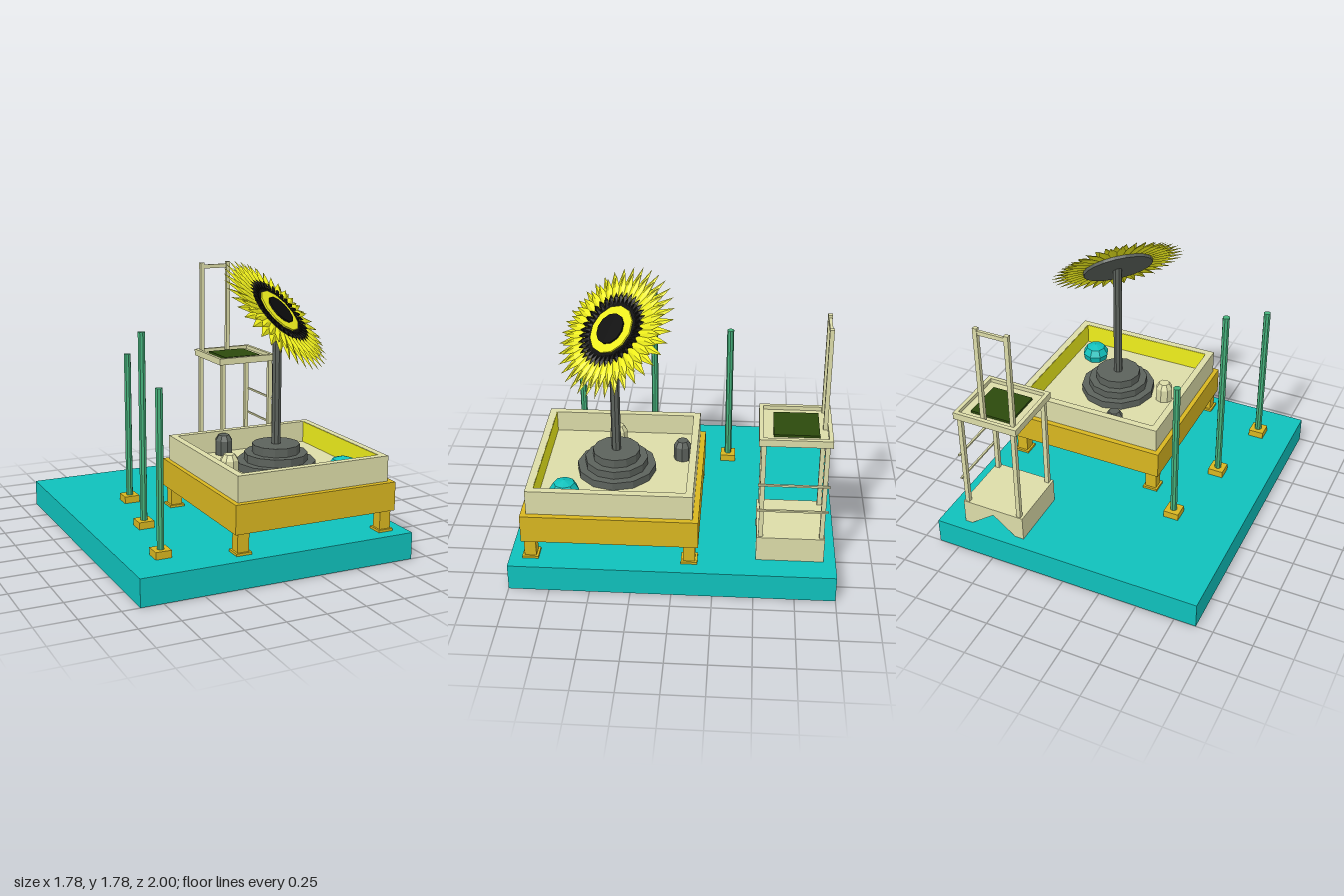
import * as THREE from 'three';

const mat = (color, side = THREE.FrontSide) =>
  new THREE.MeshStandardMaterial({ color, flatShading: true, side });
const CYAN = mat(0x0fc1bc), GOLD = mat(0xd8b620), CREAM = mat(0xdcdca8), GREY = mat(0x5c625c);
const GREEN = mat(0x46b27c), PANEL = mat(0x2c4a0c), BLACK = mat(0x0c0c0c), YELLOW = mat(0xeeee1c);
const PETAL = mat(0xeeee1c, THREE.DoubleSide), DARK_PETAL = mat(0x0c0c0c, THREE.DoubleSide);

function add(parent, name, geometry, material) {
  const mesh = new THREE.Mesh(geometry, material);
  mesh.name = name;
  parent.add(mesh);
  return mesh;
}

// Box given by its limits on each axis
function box(parent, name, material, x0, x1, y0, y1, z0, z1) {
  const mesh = add(parent, name, new THREE.BoxGeometry(x1 - x0, y1 - y0, z1 - z0), material);
  mesh.position.set((x0 + x1) / 2, (y0 + y1) / 2, (z0 + z1) / 2);
  return mesh;
}

// Upright cylinder from y0 to y1
function post(parent, name, material, x, z, y0, y1, r, sides = 8) {
  const mesh = add(parent, name, new THREE.CylinderGeometry(r, r, y1 - y0, sides), material);
  mesh.position.set(x, (y0 + y1) / 2, z);
  return mesh;
}

// Rectangular ring with wall thickness t
function rim(parent, name, material, x0, x1, y0, y1, z0, z1, t) {
  const rect = (a, b, c, d) => [[a, c], [b, c], [b, d], [a, d]].map(p => new THREE.Vector2(...p));
  const shape = new THREE.Shape(rect(x0, x1, -z1, -z0));
  shape.holes.push(new THREE.Path(rect(x0 + t, x1 - t, -z1 + t, -z0 - t)));
  const geo = new THREE.ExtrudeGeometry(shape, { depth: y1 - y0, bevelEnabled: false });
  add(parent, name, geo.rotateX(-Math.PI / 2), material).position.y = y0;
}

// Faceted turned form standing on y
function turned(parent, name, material, x, y, z, profile) {
  const points = profile.map(p => new THREE.Vector2(...p));
  add(parent, name, new THREE.LatheGeometry(points, 8), material).position.set(x, y, z);
}

// Pointed leaf along +y with a raised middle ridge
function petalGeometry(r0, r1, w, z0, z1) {
  const rm = r0 + (r1 - r0) * 0.55, zm = (z0 + z1) / 2;
  const geo = new THREE.BufferGeometry();
  geo.setAttribute('position', new THREE.Float32BufferAttribute([
    -w * 0.3, r0, z0, w * 0.3, r0, z0, w / 2, rm, zm,
    0, r1, z1, -w / 2, rm, zm, 0, rm, zm + 0.012], 3));
  geo.setIndex([0, 1, 5, 1, 2, 5, 2, 3, 5, 3, 4, 5, 4, 0, 5]);
  geo.computeVertexNormals();
  return geo;
}

function petalRing(parent, name, material, count, offset, ...size) {
  const ring = new THREE.Group();
  ring.name = name;
  const geo = petalGeometry(...size);
  for (let i = 0; i < count; i++) {
    add(ring, 'petal', geo, material).rotation.z = (i + offset) * 2 * Math.PI / count;
  }
  parent.add(ring);
}

function createFlower() {
  const flower = new THREE.Group();
  flower.name = 'flowerHead';
  const disc = (name, material, r, z0, z1, sides) => {
    const geo = new THREE.CylinderGeometry(r, r, z1 - z0, sides).rotateX(Math.PI / 2);
    add(flower, name, geo, material).position.z = (z0 + z1) / 2;
  };
  disc('flowerBack', GREY, 0.23, -0.02, 0, 20);
  disc('seedRing', BLACK, 0.205, 0, 0.025, 20);
  disc('innerRing', YELLOW, 0.157, 0.025, 0.035, 12);
  disc('flowerCore', BLACK, 0.1, 0.035, 0.045, 12);
  petalRing(flower, 'outerPetals', PETAL, 36, 0, 0.19, 0.438, 0.058, 0, -0.005);
  petalRing(flower, 'innerPetals', PETAL, 36, 0.5, 0.19, 0.385, 0.054, 0.012, 0.02);
  petalRing(flower, 'darkPetals', DARK_PETAL, 36, 0, 0.17, 0.25, 0.034, 0.028, 0.032);
  flower.position.set(0.265, 1.47, 0.378);
  flower.quaternion.setFromUnitVectors(
    new THREE.Vector3(0, 0, 1), new THREE.Vector3(0.49, 0.69, 0.53).normalize());
  return flower;
}

function createPlanter() {
  const planter = new THREE.Group();
  planter.name = 'planter';
  box(planter, 'planterFrame', GOLD, -0.27, 0.81, 0.3, 0.48, -0.16, 0.92);
  box(planter, 'planterFloor', CREAM, -0.2, 0.74, 0.48, 0.5, -0.09, 0.84);
  rim(planter, 'planterWall', CREAM, -0.24, 0.775, 0.48, 0.64, -0.125, 0.885, 0.045);
  // Yellow linings on two inner walls
  box(planter, 'sideLining', YELLOW, 0.727, 0.731, 0.5, 0.638, -0.08, 0.84);
  box(planter, 'frontLining', YELLOW, -0.195, 0.73, 0.5, 0.638, 0.837, 0.841);
  // Legs with foot plates
  for (const x of [-0.213, 0.752]) for (const z of [-0.105, 0.87]) {
    box(planter, 'leg', GOLD, x - 0.037, x + 0.037, 0.18, 0.3, z - 0.036, z + 0.036);
    box(planter, 'foot', GOLD, x - 0.05, x + 0.05, 0.17, 0.185, z - 0.05, z + 0.05);
  }
  // Stepped pedestal and stem
  [[0.25, 0.5, 0.55], [0.2, 0.55, 0.6], [0.15, 0.6, 0.655]].forEach(([r, y0, y1]) =>
    post(planter, 'pedestalStep', GREY, 0.27, 0.385, y0, y1, r, 12));
  post(planter, 'stem', GREY, 0.27, 0.385, 0.65, 1.465, 0.03);
  // Small objects on the floor
  const barrel = [[0, 0], [0.058, 0], [0.058, 0.095], [0.036, 0.13], [0, 0.13]];
  turned(planter, 'greyBarrel', GREY, 0.105, 0.5, -0.025, barrel);
  turned(planter, 'creamBarrel', CREAM, -0.065, 0.5, 0.41, barrel);
  turned(planter, 'dome', CYAN, 0.585, 0.5, 0.675,
    [[0, 0], [0.08, 0], [0.092, 0.045], [0.065, 0.09], [0, 0.11]]);
  planter.add(createFlower());
  return planter;
}

function createTower() {
  const tower = new THREE.Group();
  tower.name = 'tower';
  // Plinth with a V notch running front to back
  const side = [[0.31, 0.17], [0.37, 0.17], [0.52, 0.29], [0.68, 0.17], [0.73, 0.17], [0.73, 0.335], [0.31, 0.335]];
  const plinth = new THREE.ExtrudeGeometry(
    new THREE.Shape(side.map(p => new THREE.Vector2(...p))), { depth: 0.415, bevelEnabled: false });
  add(tower, 'plinth', plinth, CREAM).position.z = -0.925;
  for (const x of [0.34, 0.705]) for (const z of [-0.535, -0.905]) {
    box(tower, 'towerLeg', CREAM, x - 0.014, x + 0.014, 0.335, 0.99, z - 0.014, z + 0.014);
  }
  for (const y of [0.53, 0.71]) {
    box(tower, 'rung', CREAM, 0.715, 0.728, y - 0.006, y + 0.006, -0.935, -0.507);
  }
  // Tray with raised rim and dark panel
  box(tower, 'trayFloor', CREAM, 0.32, 0.72, 0.985, 1.005, -0.92, -0.52);
  rim(tower, 'trayRim', CREAM, 0.305, 0.735, 0.985, 1.03, -0.935, -0.505, 0.025);
  box(tower, 'trayPanel', PANEL, 0.385, 0.655, 1.0, 1.02, -0.86, -0.59);
  // Tall back frame
  for (const x of [0.33, 0.532]) {
    box(tower, 'backPost', CREAM, x, x + 0.028, 1.0, 1.655, -0.908, -0.882);
  }
  box(tower, 'backBar', CREAM, 0.35, 0.54, 1.613, 1.64, -0.904, -0.886);
  return tower;
}

export function createModel() {
  const model = new THREE.Group();
  model.name = 'flowerGarden';
  box(model, 'basePlate', CYAN, -0.89, 0.89, 0, 0.17, -1, 1);
  // Three poles on square blocks
  for (const [x, z, top] of [[-0.655, 0.725, 1.16], [-0.553, 0.207, 1.39], [-0.45, -0.31, 1.16]]) {
    box(model, 'poleBlock', GOLD, x - 0.05, x + 0.05, 0.17, 0.215, z - 0.05, z + 0.05);
    post(model, 'pole', GREEN, x, z, 0.215, top, 0.023);
  }
  model.add(createPlanter(), createTower());
  return model;
}
